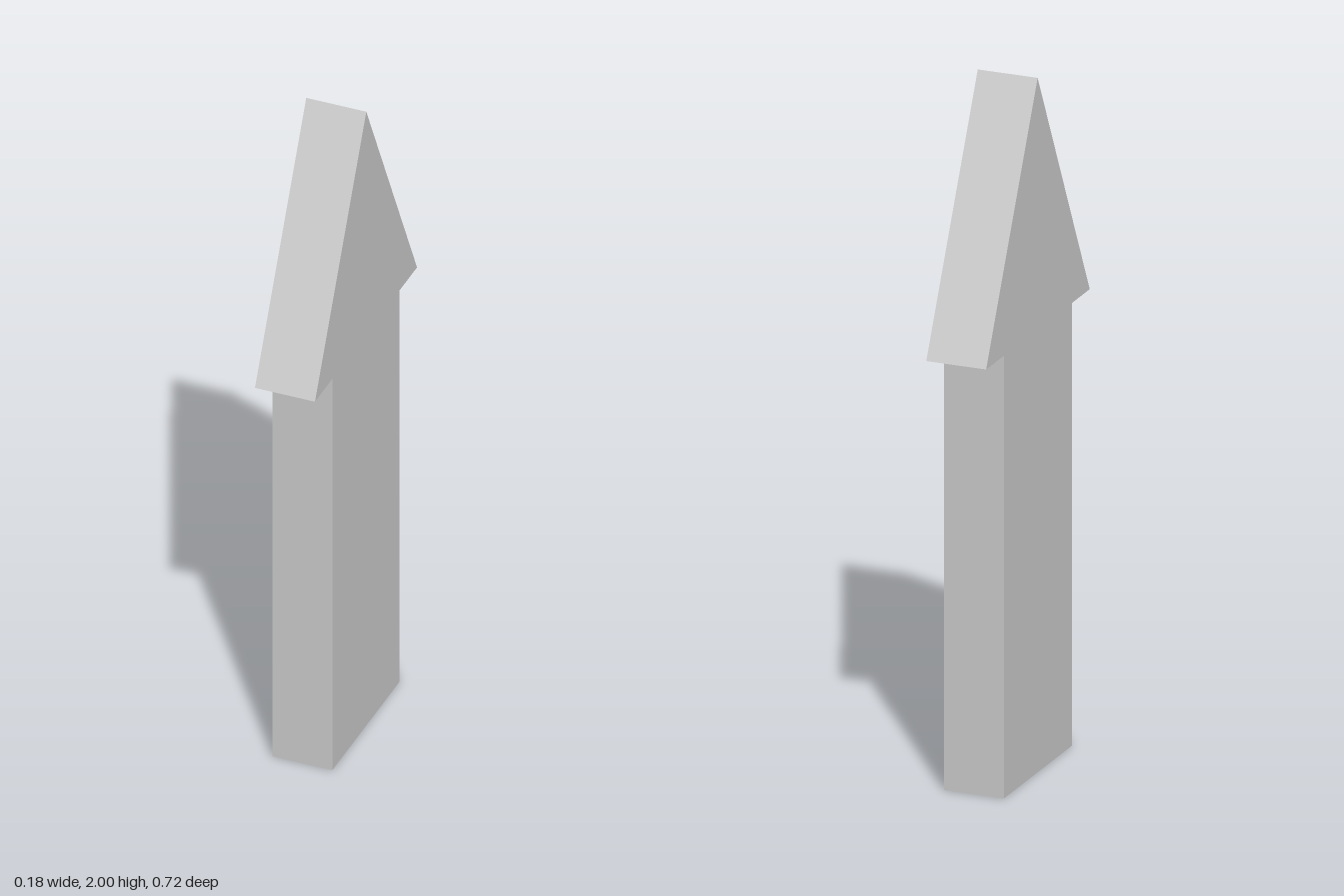
import * as THREE from 'three';

const THICKNESS = 0.177;
const SHAFT = 0.237;   // half width of the shaft
const HEAD = 0.359;    // half width of the head
const SHOULDER = 1.275; // height where the head begins

export function createModel() {
  const group = new THREE.Group();
  group.name = 'upArrow';

  // Arrow outline, counter-clockwise from the bottom
  const outline = new THREE.Shape([
    [-SHAFT, 0], [SHAFT, 0], [SHAFT, SHOULDER], [HEAD, SHOULDER],
    [0.002, 2], [-HEAD, SHOULDER], [-SHAFT, SHOULDER],
  ].map(([u, y]) => new THREE.Vector2(u, y)));

  // Flat slab, turned so its broad faces look along x
  const geometry = new THREE.ExtrudeGeometry(outline, { depth: THICKNESS, bevelEnabled: false });
  geometry.translate(0, 0, -THICKNESS / 2);
  geometry.rotateY(Math.PI / 2);

  const material = new THREE.MeshStandardMaterial({ color: 0xcccccc, flatShading: true });
  const arrow = new THREE.Mesh(geometry, material);
  arrow.name = 'arrow';
  group.add(arrow);
  return group;
}
